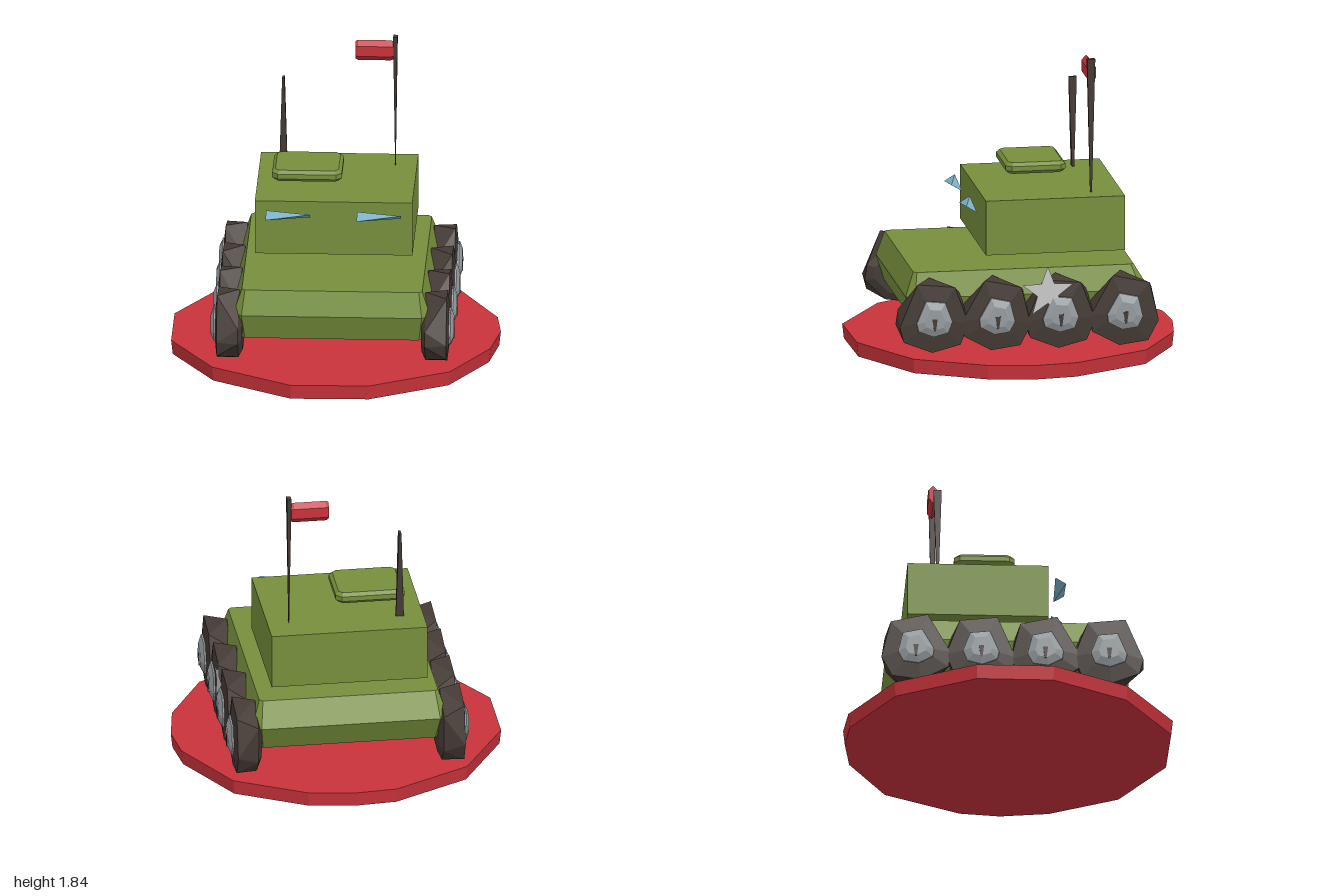
import * as THREE from 'three';

const material = (name, color, extra = {}) => {
  const m = new THREE.MeshStandardMaterial({ color, ...extra });
  m.name = name;
  return m;
};

// Closed, flat-faceted solid through rings of [x, y, z] points, with capped ends
function loft(rings) {
  const n = rings[0].length;
  let tris = [];
  for (let r = 0; r < rings.length - 1; r++) {
    for (let i = 0; i < n; i++) {
      const j = (i + 1) % n, a = rings[r], b = rings[r + 1];
      tris.push([a[i], b[i], b[j]], [a[i], b[j], a[j]]);
    }
  }
  const first = rings[0], last = rings[rings.length - 1];
  for (let i = 1; i < n - 1; i++) {
    tris.push([first[0], first[i], first[i + 1]], [last[0], last[i + 1], last[i]]);
  }
  // Turn the faces outward whichever way the rings run
  const v = (p) => new THREE.Vector3(...p);
  const o = v(first[0]);
  const volume = tris.reduce((s, [a, b, c]) =>
    s + v(a).sub(o).dot(v(b).sub(o).cross(v(c).sub(o))), 0);
  if (volume < 0) tris = tris.map(([a, b, c]) => [a, c, b]);
  const g = new THREE.BufferGeometry();
  g.setAttribute('position', new THREE.Float32BufferAttribute(tris.flat(2), 3));
  g.computeVertexNormals();
  return g;
}

// Horizontal rectangle with cut corners
const cutRect = (x0, x1, z0, z1, c, y) => [
  [x0 + c, y, z0], [x1 - c, y, z0], [x1, y, z0 + c], [x1, y, z1 - c],
  [x1 - c, y, z1], [x0 + c, y, z1], [x0, y, z1 - c], [x0, y, z0 + c],
];

const plainRect = (x, z, w, d, y) => [
  [x - w / 2, y, z - d / 2], [x + w / 2, y, z - d / 2],
  [x + w / 2, y, z + d / 2], [x - w / 2, y, z + d / 2],
];

export function createModel() {
  const model = new THREE.Group();
  model.name = 'toyTank';
  const green = material('armourGreen', 0x768f3c);
  const red = material('red', 0xc8333b);
  const dark = material('darkBrown', 0x443a34);
  const steel = material('hubGrey', 0x959b9f);
  const silver = material('starSilver', 0xc8c8c8, { side: THREE.DoubleSide });
  const blue = material('windowBlue', 0x7db2ca);

  const add = (name, geometry, mat, parent = model) => {
    const mesh = new THREE.Mesh(geometry, mat);
    mesh.name = name;
    parent.add(mesh);
    return mesh;
  };

  // Uneven round base
  const rim = [[-1, -0.23], [-0.72, -0.72], [-0.25, -0.98], [0, -1], [0.29, -0.96],
    [0.72, -0.72], [0.97, -0.25], [1, 0], [0.95, 0.3], [0.72, 0.72],
    [0.24, 0.99], [-0.24, 1], [-0.73, 0.7], [-1, 0.24]];
  add('base', loft([0, 0.09].map((y) => rim.map(([x, z]) =>
    [x * (y ? 1 : 0.99), y, z * (y ? 1 : 0.99)]))), red);

  // Hull, widest halfway up
  add('hull', loft([
    cutRect(-0.55, 0.55, -0.68, 0.69, 0.02, 0.28),
    cutRect(-0.6, 0.6, -0.76, 0.74, 0.05, 0.44),
    cutRect(-0.55, 0.55, -0.67, 0.69, 0.02, 0.59),
  ]), green);

  // Turret and hatch
  const turret = new THREE.BoxGeometry(0.96, 0.34, 0.86);
  add('turret', turret, green).position.set(-0.01, 0.83, -0.2);
  add('hatch', loft([
    cutRect(-0.375, 0.01, -0.32, 0.01, 0.025, 1.05),
    cutRect(-0.395, 0.03, -0.34, 0.03, 0.035, 1.07),
    cutRect(-0.395, 0.03, -0.34, 0.03, 0.035, 1.1),
    cutRect(-0.375, 0.01, -0.32, 0.01, 0.025, 1.12),
  ]), green);

  // Wedge-shaped windows ahead of the turret
  for (const x of [-0.42, 0.135]) {
    const a = [x, 0.915, 0.34], b = [x + 0.27, 0.955, 0.34];
    const c = [x, 0.955, 0.275], d = [x + 0.27, 0.915, 0.275];
    add('window', loft([[a, b, c], [d, d, d]]), blue);
  }

  // Tapered aerial and flagpole
  add('aerial', loft([
    plainRect(-0.345, -0.44, 0.05, 0.014, 1),
    plainRect(-0.345, -0.44, 0.015, 0.05, 1.56),
  ]), dark);
  add('flagpole', loft([
    plainRect(0.338, -0.44, 0.004, 0.012, 1),
    plainRect(0.338, -0.44, 0.027, 0.05, 1.835),
  ]), dark);

  // Thick flag with a six-sided section
  add('flag', loft([[0.095, 0.88], [0.11, 1], [0.31, 1], [0.327, 0.88]].map(([x, s]) =>
    Array.from({ length: 6 }, (_, i) => {
      const t = (i * Math.PI) / 3;
      return [x, 1.74 + 0.065 * s * Math.cos(t), -0.447 + 0.033 * s * Math.sin(t)];
    }))), red);

  // Rough seven-sided wheels: [z, y] outline about the axle
  const outline = [[0.21, -0.05], [0.1, 0.215], [-0.13, 0.19], [-0.215, -0.04],
    [-0.165, -0.17], [0.01, -0.215], [0.185, -0.145]];
  const ring = (x, scale, turn = 0) => outline.map(([z, y]) => [
    x,
    scale * (y * Math.cos(turn) + z * Math.sin(turn)),
    scale * (z * Math.cos(turn) - y * Math.sin(turn)),
  ]);
  const slot = [[-0.016, 0.005], [0.016, 0.005], [0.006, -0.07], [-0.006, -0.07]];

  for (const side of [1, -1]) {
    const mirror = (rings) => rings.map((r) => r.map(([x, y, z]) => [x * side, y, z]));
    [0.59, 0.2, -0.19, -0.59].forEach((z, i) => {
      const wheel = new THREE.Group();
      wheel.name = side > 0 ? 'leftWheel' : 'rightWheel';
      wheel.position.set(0, 0.335, z);
      model.add(wheel);
      const turn = (i % 2) * 0.12;
      add('tyre', loft(mirror([
        ring(0.545, 0.72, 0.4), ring(0.57, 0.95, 0.4), ring(0.7, 1, turn), ring(0.712, 0.55, turn),
      ])), dark, wheel);
      add('hub', loft(mirror([
        ring(0.7, 0.53, turn), ring(0.722, 0.52, turn), ring(0.742, 0.3, turn),
      ])), steel, wheel);
      add('hubSlot', loft(mirror([0.735, 0.744].map((x) =>
        slot.map(([w, y]) => [x, y, w])))), dark, wheel);
    });
  }

  // Star plate on one side
  const star = new THREE.Shape(Array.from({ length: 10 }, (_, i) => {
    const t = Math.PI / 2 + (i * Math.PI) / 5, r = i % 2 ? 0.068 : 0.165;
    return new THREE.Vector2(r * Math.cos(t), r * Math.sin(t));
  }));
  const plate = add('star', new THREE.ShapeGeometry(star), silver);
  plate.rotation.y = Math.PI / 2;
  plate.position.set(0.725, 0.475, -0.11);

  return model;
}
